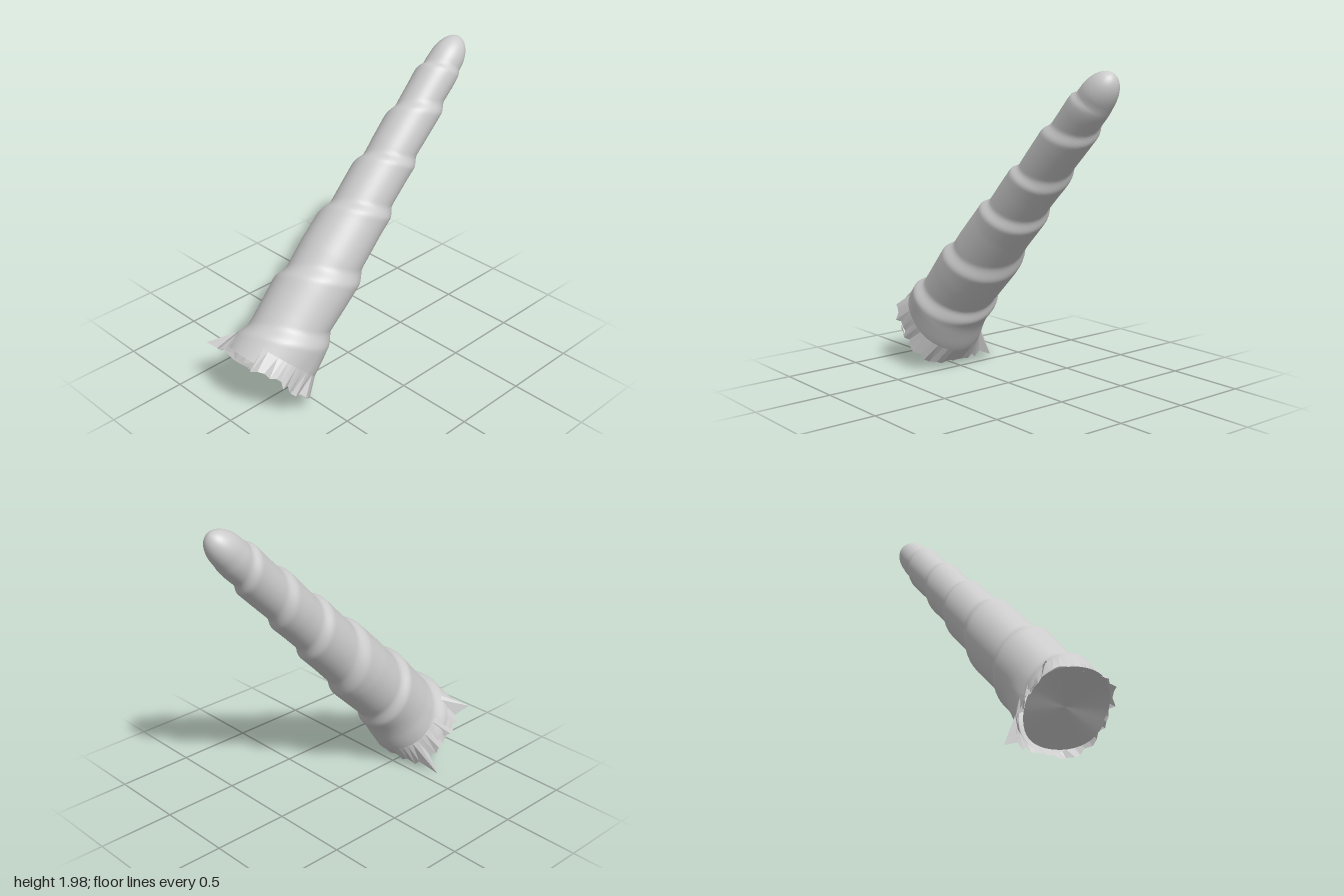
import * as THREE from 'three';

const SIDES = 48;
const material = new THREE.MeshStandardMaterial({ color: 0xcccccc, side: THREE.DoubleSide });

// small seeded noise source
function seeded(seed) {
  return () => {
    seed = (seed * 16807) % 2147483647;
    return seed / 2147483647;
  };
}

// piecewise linear lookup in [x, y] pairs
function lookup(table, x) {
  if (x <= table[0][0]) return table[0][1];
  for (let i = 1; i < table.length; i++) {
    const [x0, y0] = table[i - 1], [x1, y1] = table[i];
    if (x <= x1) return y0 + (y1 - y0) * (x - x0) / (x1 - x0);
  }
  return table[table.length - 1][1];
}

// skin between closed rings of points
function loft(rings, name) {
  const n = rings[0].length, index = [];
  for (let i = 0; i < rings.length - 1; i++) {
    for (let j = 0; j < n; j++) {
      const a = i * n + j, b = i * n + (j + 1) % n;
      index.push(a, a + n, b, b, a + n, b + n);
    }
  }
  const geometry = new THREE.BufferGeometry().setFromPoints(rings.flat());
  geometry.setIndex(index);
  geometry.computeVertexNormals();
  const mesh = new THREE.Mesh(geometry, material);
  mesh.name = name;
  return mesh;
}

// mean radius along the horn
const TAPER = [[0, 0.26], [0.2, 0.248], [0.5, 0.23], [0.8, 0.214], [1.1, 0.188], [1.5, 0.156],
  [1.8, 0.14], [2.1, 0.122], [2.2, 0.108]];
// number of turns the spiral ridge has made at each height
const TURNS = [[0, -0.3], [0.15, 0], [0.38, 0.5], [0.57, 1], [0.8, 1.5], [1.06, 2], [1.2, 2.4],
  [1.42, 3], [1.56, 3.45], [1.78, 4], [1.96, 4.5], [2.11, 5], [2.2, 5.5], [2.4, 6]];
const LENGTH = 2.385;

// radius including the ridge: slow swell, then a quick step inwards
function hornRadius(s, a) {
  const turn = lookup(TURNS, s) - (Math.PI / 2 - a) / (2 * Math.PI);
  const u = turn - Math.floor(turn);
  const swell = u < 0.22 ? 1 - THREE.MathUtils.smoothstep(u, 0, 0.22) : (u - 0.22) / 0.78;
  const fade = 1 - THREE.MathUtils.smoothstep(s, 2.1, 2.25);
  const amplitude = 0.034 * (1 - 0.2 * s) * fade;
  let r = lookup(TAPER, s);
  if (s > 2.2) r = 0.108 * Math.sqrt(Math.max(0, 1 - ((s - 2.2) / (LENGTH - 2.2)) ** 2));
  // flare at the underside of the root
  const flare = 0.05 * Math.max(0, -Math.sin(a)) * (1 - THREE.MathUtils.smoothstep(s, 0.08, 0.35));
  return r + amplitude * (swell - 0.5) + flare;
}

function centreX(s) {
  return lookup([[0, 0.01], [0.25, 0.03], [1.8, 0.037], [LENGTH, 0.037]], s);
}

function ring(fn) {
  return Array.from({ length: SIDES }, (_, j) => fn(j / SIDES * 2 * Math.PI, j));
}

function hornRing(s) {
  return ring((a) => {
    const r = hornRadius(s, a);
    return new THREE.Vector3(centreX(s) + r * Math.cos(a), s, r * Math.sin(a));
  });
}

export function createModel() {
  const model = new THREE.Group();
  model.name = 'spiralHorn';
  const horn = new THREE.Group();
  horn.name = 'tiltedHorn';
  horn.rotation.x = -0.77;
  horn.position.set(0, 0.27, 0.73);
  model.add(horn);

  // ridged shaft, with rows packed towards the rounded tip
  const rings = [];
  for (let i = 0; i <= 120; i++) rings.push(hornRing(0.02 + 2.18 * i / 120));
  for (let i = 1; i <= 10; i++) rings.push(hornRing(2.2 + (LENGTH - 2.2) * Math.sin(i / 10 * Math.PI / 2)));
  horn.add(loft(rings, 'shaft'));

  // torn rim around the root, slightly square in outline
  const random = seeded(77);
  const rim = ring((a) => {
    const c = Math.cos(a), d = Math.sin(a);
    const square = 1 / Math.pow(Math.abs(c) ** 3 + Math.abs(d) ** 3, 1 / 3);
    const r = square * (0.98 + 0.1 * (random() - 0.5));
    return new THREE.Vector3(0.005 + 0.295 * r * c, -0.015 + 0.05 * (random() - 0.5),
      (d > 0 ? 0.25 : 0.295) * r * d);
  });
  // two longer torn corners
  rim[Math.round(SIDES * 0.39)].set(-0.3, -0.03, 0.23);
  rim[Math.round(SIDES * 0.62)].set(-0.325, -0.08, -0.27);
  const torn = loft([rim, hornRing(0.12)], 'tornRim');
  torn.geometry = torn.geometry.toNonIndexed();
  torn.geometry.computeVertexNormals();
  horn.add(torn);

  // uneven flat cap closing the root
  const edge = ring((a) => new THREE.Vector3(0.005 + 0.285 * Math.cos(a), -0.01 + 0.015 * Math.sin(3 * a),
    0.26 * Math.sin(a)));
  const middle = ring(() => new THREE.Vector3(0, 0.01, 0));
  const cap = loft([middle, edge], 'rootCap');
  horn.add(cap);

  return model;
}
